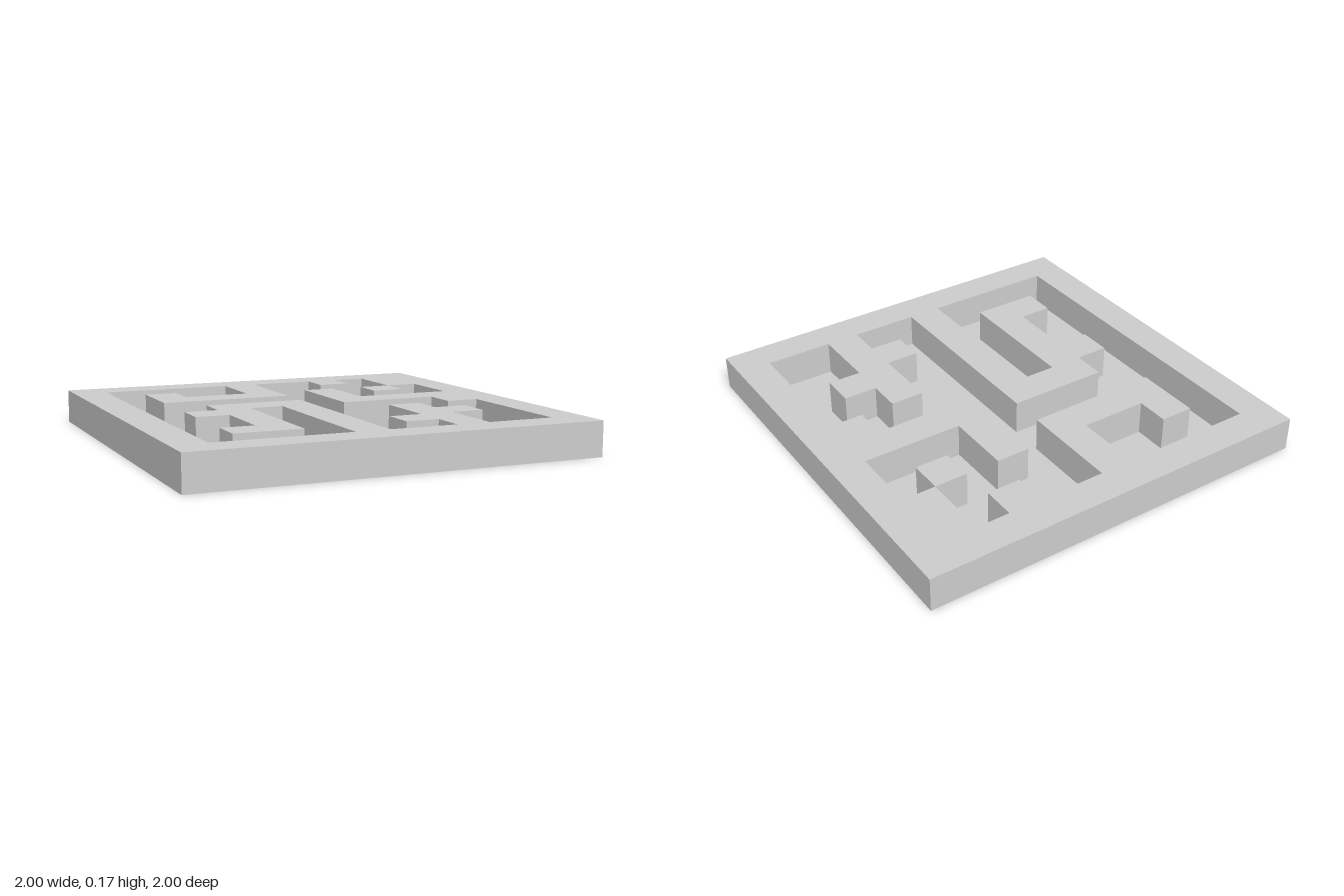
import * as THREE from 'three';

// Plan of the maze, back row first: # is raised, . is a channel
const PLAN = [
  '############',
  '#....#..#.##',
  '#.#..#....##',
  '#.####.#.#.#',
  '#......#...#',
  '#..###.#####',
  '#.##.#....##',
  '#..#.#..#..#',
  '#..#.#..##.#',
  '#.##.#.##..#',
  '#....#..#..#',
  '############',
];
const N = PLAN.length;
const CELL = 2 / N;
const HEIGHT = 0.17;
const SIDES = [[1, 0], [-1, 0], [0, 1], [0, -1]];

// Two triangles for corners given counter-clockwise
function addQuad(list, a, b, c, d) {
  list.push(...a, ...b, ...c, ...a, ...c, ...d);
}

// Horizontal square of one cell, facing up
function addTile(list, x, z, y) {
  const h = CELL / 2;
  addQuad(list, [x - h, y, z - h], [x - h, y, z + h], [x + h, y, z + h], [x + h, y, z - h]);
}

// Upright square on one side of a cell, facing away from it
function addWall(list, x, z, [dx, dz]) {
  const h = CELL / 2;
  const mx = x + dx * h, mz = z + dz * h;
  const tx = dz * h, tz = -dx * h;
  addQuad(list,
    [mx - tx, 0, mz - tz], [mx + tx, 0, mz + tz],
    [mx + tx, HEIGHT, mz + tz], [mx - tx, HEIGHT, mz - tz]);
}

export function createModel() {
  const group = new THREE.Group();
  group.name = 'mazeTile';
  const material = new THREE.MeshStandardMaterial({ color: 0xcccccc, side: THREE.DoubleSide });
  const parts = { raisedTop: [], channelFloor: [], channelWalls: [], outerRim: [] };

  // Hollow shell: raised tops, channel floors and the walls between them
  for (let row = 0; row < N; row++) {
    for (let col = 0; col < N; col++) {
      const x = (col + 0.5) * CELL - 1;
      const z = (row + 0.5) * CELL - 1;
      if (PLAN[row][col] === '.') {
        addTile(parts.channelFloor, x, z, 0);
        continue;
      }
      addTile(parts.raisedTop, x, z, HEIGHT);
      for (const side of SIDES) {
        const next = PLAN[row + side[1]]?.[col + side[0]];
        if (next === '.') addWall(parts.channelWalls, x, z, side);
        if (next === undefined) addWall(parts.outerRim, x, z, side);
      }
    }
  }

  for (const [name, positions] of Object.entries(parts)) {
    const geometry = new THREE.BufferGeometry();
    geometry.setAttribute('position', new THREE.Float32BufferAttribute(positions, 3));
    geometry.computeVertexNormals();
    const mesh = new THREE.Mesh(geometry, material);
    mesh.name = name;
    group.add(mesh);
  }
  return group;
}
